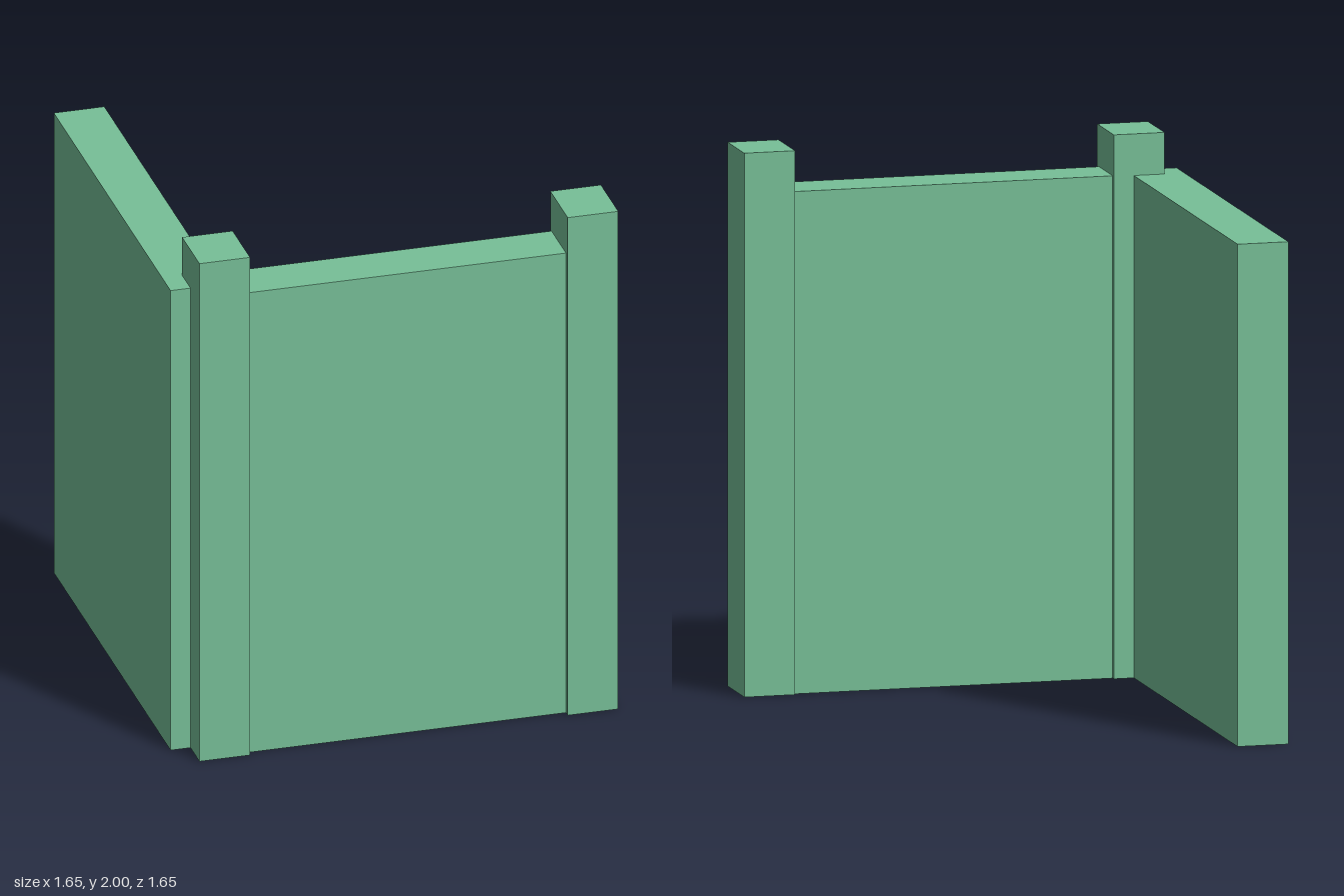
import * as THREE from 'three';

export function createModel() {
  const group = new THREE.Group();
  const green = new THREE.MeshStandardMaterial({ color: 0x77c098 });
  green.name = 'green';

  // Box standing on the ground, given by its x and z extents and its height
  function block(name, x0, x1, z0, z1, height) {
    const mesh = new THREE.Mesh(new THREE.BoxGeometry(x1 - x0, height, z1 - z0), green);
    mesh.position.set((x0 + x1) / 2, height / 2, (z0 + z1) / 2);
    mesh.name = name;
    group.add(mesh);
  }

  const wallHeight = 1.847;
  const postHeight = 2;

  // Two walls meeting at a corner
  block('sideWall', -0.825, -0.635, -0.825, 0.707, wallHeight);
  block('frontWall', -0.56, 0.635, 0.612, 0.802, wallHeight);

  // Taller posts at both ends of the front wall
  block('cornerPost', -0.75, -0.56, 0.597, 0.825, postHeight);
  block('endPost', 0.635, 0.825, 0.597, 0.825, postHeight);

  return group;
}
